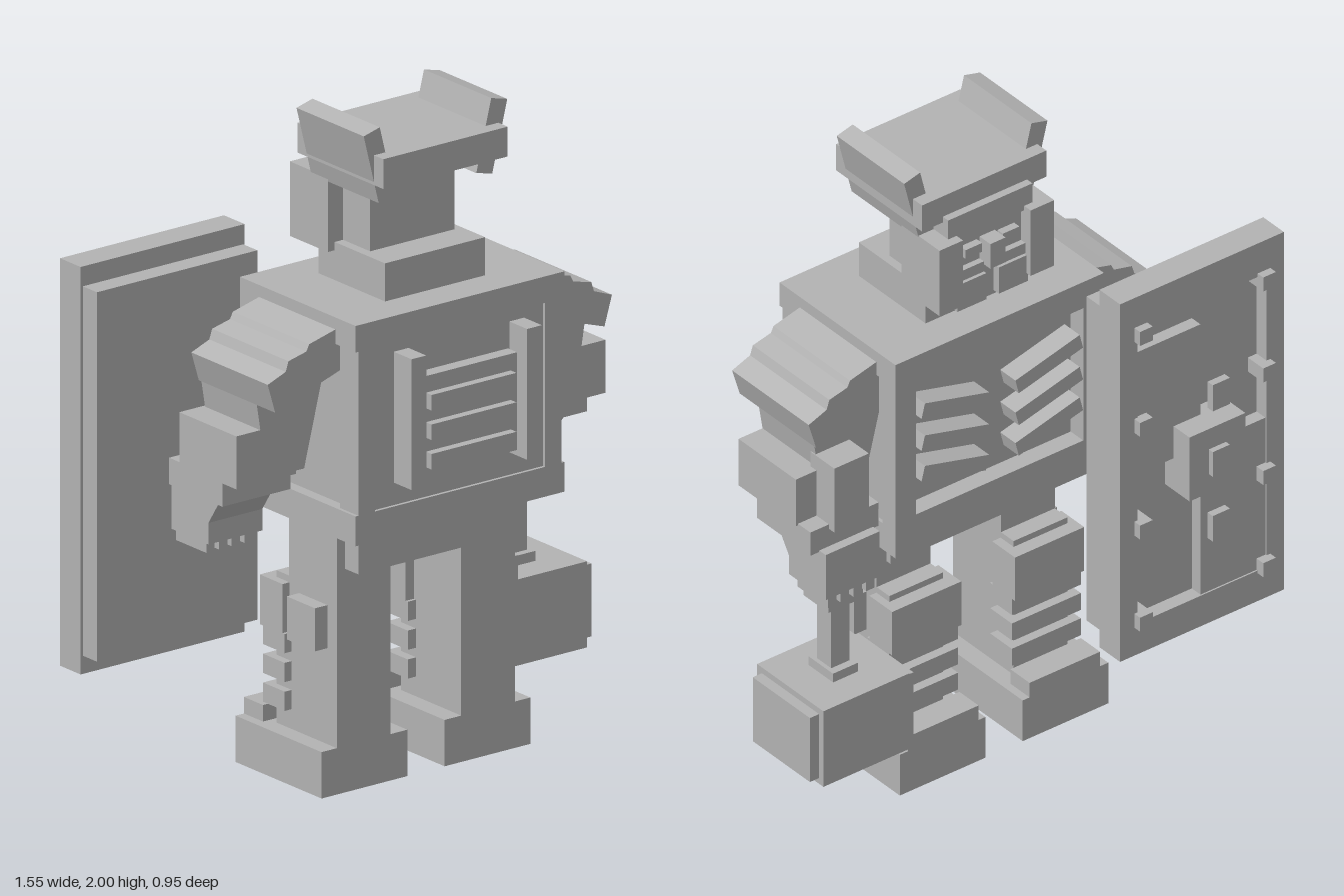
import * as THREE from 'three';

const grey = new THREE.MeshStandardMaterial({ color: 0xb3b3b3 });
grey.name = 'plainGrey';
const MID = 0.0525; // mirror plane of the body

export function createModel() {
  const model = new THREE.Group();
  const group = (name) => {
    const g = new THREE.Group();
    g.name = name;
    model.add(g);
    return g;
  };
  const add = (parent, name, geometry) => {
    const m = new THREE.Mesh(geometry, grey);
    m.name = name;
    parent.add(m);
    return m;
  };
  // box from its lower and upper bounds
  const box = (parent, name, x0, x1, y0, y1, z0, z1) => {
    const m = add(parent, name, new THREE.BoxGeometry(x1 - x0, y1 - y0, z1 - z0));
    m.position.set((x0 + x1) / 2, (y0 + y1) / 2, (z0 + z1) / 2);
    return m;
  };
  // the same box on both sides of the body, given for the +x side
  const pair = (parent, name, x0, x1, y0, y1, z0, z1) => {
    box(parent, name + 'Left', x0, x1, y0, y1, z0, z1);
    box(parent, name + 'Right', 2 * MID - x1, 2 * MID - x0, y0, y1, z0, z1);
  };
  const extrude = (pts, depth) => new THREE.ExtrudeGeometry(
    new THREE.Shape(pts.map((p) => new THREE.Vector2(p[0], p[1]))),
    { depth, bevelEnabled: false });
  // outline in x and y, pushed from z0 to z1, on both sides
  const pairProfile = (parent, name, pts, z0, z1) => {
    [1, -1].forEach((s) => {
      const p = pts.map(([x, y]) => [s > 0 ? x : 2 * MID - x, y]);
      add(parent, name + (s > 0 ? 'Left' : 'Right'), extrude(p, z1 - z0)).position.z = z0;
    });
  };
  // rectangular plate with a rectangular opening
  const frame = (parent, name, o, i, z0, z1) => {
    const rect = ([x0, x1, y0, y1]) => [[x0, y0], [x1, y0], [x1, y1], [x0, y1]]
      .map((p) => new THREE.Vector2(...p));
    const shape = new THREE.Shape(rect(o));
    shape.holes.push(new THREE.Path(rect(i)));
    add(parent, name, new THREE.ExtrudeGeometry(shape, { depth: z1 - z0, bevelEnabled: false }))
      .position.z = z0;
  };

  // torso with recessed chest
  const torso = group('torso');
  box(torso, 'torsoCore', -0.29, 0.395, 0.81, 1.46, -0.08, 0.385);
  box(torso, 'torsoTop', -0.325, 0.43, 1.39, 1.47, -0.08, 0.395);
  box(torso, 'torsoBase', -0.325, 0.43, 0.805, 0.895, -0.08, 0.395);
  pair(torso, 'backPost', 0.36, 0.42, 0.89, 1.4, 0.31, 0.395);
  pair(torso, 'frontPost', 0.36, 0.42, 0.89, 1.4, -0.135, -0.05);
  frame(torso, 'chestFrame', [-0.325, 0.43, 0.805, 1.47], [-0.25, 0.355, 0.925, 1.38], -0.138, -0.079);
  [1.25, 1.14, 1.035].forEach((y) => [1, -1].forEach((s) => {
    const slat = add(torso, 'chestSlat', new THREE.BoxGeometry(0.24, 0.05, 0.08));
    slat.position.set(MID + s * 0.17, y, -0.11);
    slat.rotation.z = s * 0.25;
  }));
  box(torso, 'waist', -0.24, 0.34, 0.675, 0.81, 0, 0.3);

  // vent on the back
  const vent = group('backVent');
  pair(vent, 'ventPost', 0.235, 0.288, 0.965, 1.36, 0.39, 0.472);
  box(vent, 'ventPlate', -0.125, 0.23, 0.985, 1.28, 0.39, 0.432);
  for (let i = 0; i < 3; i++) {
    box(vent, 'ventSlat', -0.1, 0.207, 1.005 + i * 0.089, 1.052 + i * 0.089, 0.43, 0.458);
  }

  // head and helmet
  const head = group('head');
  box(head, 'neck', -0.13, 0.232, 1.46, 1.585, -0.025, 0.282);
  box(head, 'skull', -0.1, 0.205, 1.53, 1.84, -0.08, 0.175);
  pair(head, 'cheekGuard', 0.175, 0.26, 1.56, 1.785, -0.125, 0.05);
  pair(head, 'jaw', 0.075, 0.18, 1.53, 1.62, -0.105, 0);
  box(head, 'upperLip', -0.08, 0.185, 1.625, 1.66, -0.1, 0);
  pair(head, 'eye', 0.09, 0.15, 1.7, 1.73, -0.105, 0);
  box(head, 'nose', 0.025, 0.08, 1.65, 1.735, -0.13, 0);
  box(head, 'brow', -0.1, 0.205, 1.77, 1.85, -0.095, 0);
  box(head, 'helmet', -0.17, 0.28, 1.83, 1.92, -0.07, 0.325);
  pairProfile(head, 'helmetFin',
    [[0.2, 1.785], [0.258, 1.772], [0.312, 1.985], [0.254, 2]], -0.028, 0.282);

  // arms
  const arms = group('arms');
  pairProfile(arms, 'shoulderPlates', [[0.39, 1.38], [0.425, 1.435], [0.525, 1.41], [0.535, 1.39],
    [0.6, 1.375], [0.61, 1.345], [0.675, 1.32], [0.648, 1.23], [0.39, 1.315]], -0.05, 0.302);
  pairProfile(arms, 'upperArm',
    [[0.39, 1.34], [0.648, 1.24], [0.63, 1.13], [0.58, 1], [0.475, 1]], -0.04, 0.215);
  pair(arms, 'elbow', 0.505, 0.72, 0.99, 1.15, -0.048, 0.215);
  pair(arms, 'cuff', 0.465, 0.712, 0.915, 0.995, -0.105, 0.14);
  [0.485, -0.575].forEach((x) => {
    const fist = add(arms, 'fist', extrude(
      [[-0.095, 0.92], [-0.035, 0.83], [-0.035, 0.765], [0.135, 0.765], [0.135, 0.92]], 0.195));
    fist.rotation.y = Math.PI / 2; // outline x becomes -z
    fist.position.x = x;
  });
  for (let i = 0; i < 4; i++) {
    pair(arms, 'finger', 0.5 + i * 0.046, 0.53 + i * 0.046, 0.73, 0.77, -0.13, 0.01);
  }

  // legs
  const legs = group('legs');
  pair(legs, 'foot', 0.12, 0.43, 0, 0.14, -0.158, 0.238);
  pair(legs, 'toeStep', 0.145, 0.4, 0.13, 0.19, -0.158, -0.07);
  pair(legs, 'leg', 0.18, 0.375, 0.13, 0.785, 0.018, 0.238);
  pair(legs, 'kneePad', 0.15, 0.4, 0.43, 0.58, -0.085, 0.02);
  for (let i = 0; i < 3; i++) {
    pair(legs, 'shinSlat', 0.15, 0.4, 0.2 + i * 0.087, 0.258 + i * 0.087, -0.07, 0.03);
  }
  pair(legs, 'shinCore', 0.18, 0.375, 0.13, 0.6, -0.04, 0.03);
  pair(legs, 'sidePlate', 0.37, 0.42, 0.43, 0.56, 0.065, 0.195);

  // hammer in the left hand
  const hammer = group('hammer');
  box(hammer, 'pommel', 0.52, 0.645, 0.98, 1.2, -0.13, -0.02);
  box(hammer, 'handle', 0.55, 0.617, 0.45, 1, -0.08, -0.015);
  box(hammer, 'grip', 0.525, 0.65, 0.695, 0.77, -0.11, 0.005);
  box(hammer, 'collar', 0.54, 0.63, 0.44, 0.475, -0.105, 0.008);
  box(hammer, 'hammerHead', 0.43, 0.742, 0.185, 0.445, -0.203, 0.102);
  box(hammer, 'outerFace', 0.74, 0.775, 0.205, 0.425, -0.183, 0.08);
  box(hammer, 'innerFace', 0.4, 0.435, 0.205, 0.425, -0.183, 0.08);

  // shield before the right arm
  const shield = group('shield');
  box(shield, 'shieldBack', -0.77, -0.19, 0.38, 1.495, -0.345, -0.23);
  frame(shield, 'shieldRim', [-0.778, -0.185, 0.325, 1.555], [-0.715, -0.248, 0.43, 1.44], -0.39, -0.295);
  box(shield, 'upperQuarter', -0.48, -0.248, 0.94, 1.36, -0.385, -0.33);
  box(shield, 'lowerQuarter', -0.715, -0.48, 0.43, 0.94, -0.385, -0.33);
  box(shield, 'boss', -0.585, -0.383, 0.83, 1.05, -0.458, -0.33);
  box(shield, 'bossStud', -0.515, -0.453, 0.895, 0.98, -0.476, -0.45);
  box(shield, 'upperBar', -0.515, -0.453, 1.12, 1.21, -0.476, -0.452);
  box(shield, 'lowerBar', -0.515, -0.453, 0.672, 0.76, -0.476, -0.452);
  [0.445, 0.762, 1.115, 1.428].forEach((y) => [-0.706, -0.26].forEach((x) =>
    box(shield, 'rivet', x - 0.023, x + 0.023, y - 0.024, y + 0.024, -0.416, -0.34)));

  // keep outward faces on the mirrored outlines regardless of point order
  return model;
}
